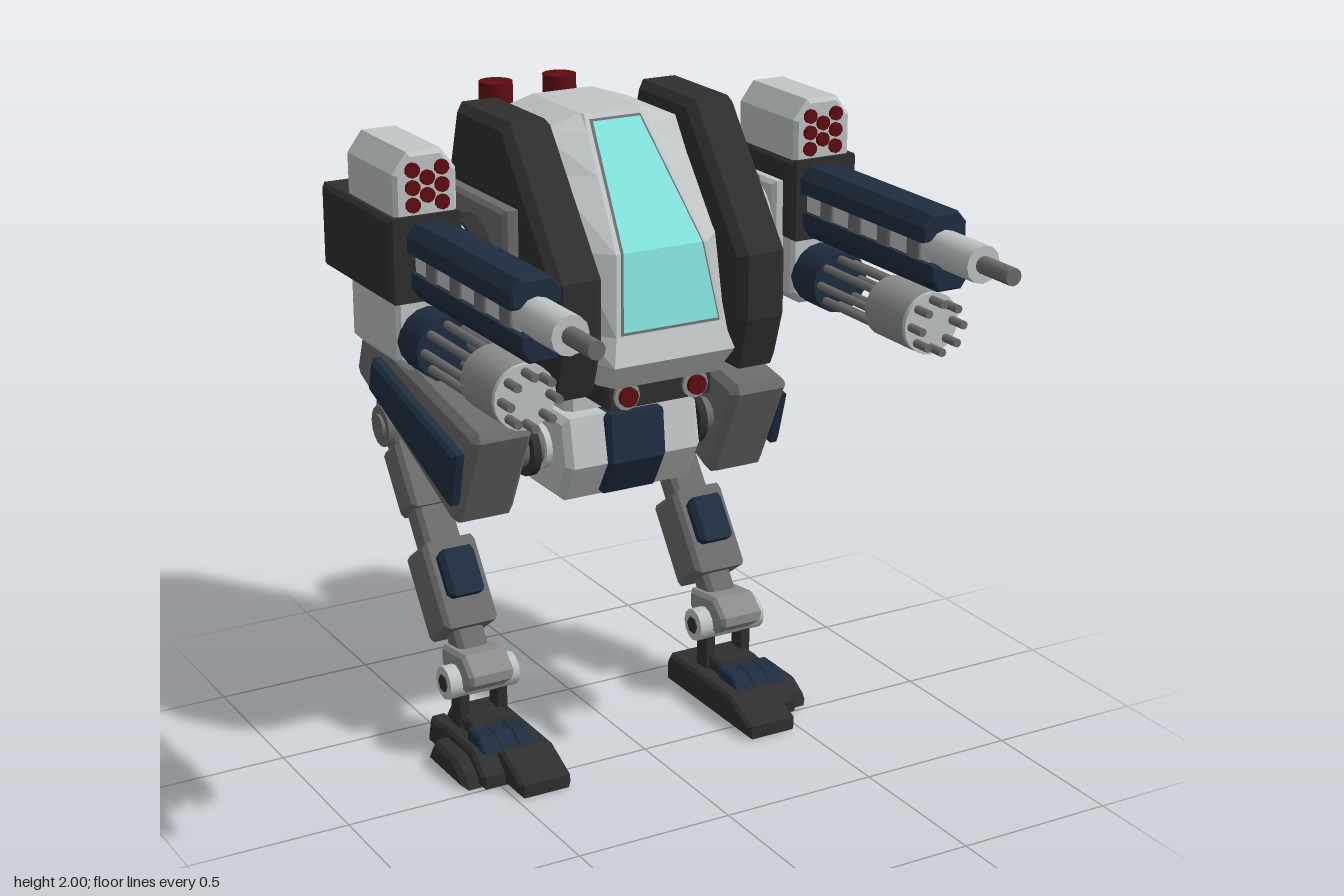
import * as THREE from 'three';

const mat = (name, color) => {
  const m = new THREE.MeshStandardMaterial({ color });
  m.name = name;
  return m;
};

export function createModel() {
  const light = mat('light grey', 0xc0c5c5), mid = mat('mid grey', 0x6c6c6c), dark = mat('charcoal', 0x2f2f2f);
  const navy = mat('navy', 0x1f2d40), red = mat('deep red', 0x600c10), glass = mat('cyan glass', 0x82e2dc);
  const steel = mat('steel', 0x8c8e8e);
  const model = new THREE.Group();
  model.name = 'walkingRobot';

  const add = (name, geo, material, parent = model) => {
    const mesh = new THREE.Mesh(geo, material);
    mesh.name = name;
    parent.add(mesh);
    return mesh;
  };
  // Side profile of [z, y] points, extruded from x0 to x1 with a chamfer
  const slab = (pts, x0, x1, b = 0.015) => {
    const shape = new THREE.Shape(pts.map(p => new THREE.Vector2(p[0], p[1])));
    return new THREE.ExtrudeGeometry(shape, {
      depth: x1 - x0 - 2 * b, bevelEnabled: b > 0, bevelThickness: b, bevelSize: b, bevelOffset: -b, bevelSegments: 1,
    }).rotateY(-Math.PI / 2).translate(x1 - b, 0, 0);
  };
  const box = (x0, x1, y0, y1, z0, z1, b = 0.012) => slab([[z0, y0], [z1, y0], [z1, y1], [z0, y1]], x0, x1, b);
  const cylX = (r, x0, x1, y, z, n = 20) =>
    new THREE.CylinderGeometry(r, r, x1 - x0, n).rotateZ(Math.PI / 2).translate((x0 + x1) / 2, y, z);
  const cylZ = (r, z0, z1, x, y, n = 16) =>
    new THREE.CylinderGeometry(r, r, z1 - z0, n).rotateX(Math.PI / 2).translate(x, y, (z0 + z1) / 2);
  // Front outline of [x, y] points, extruded from z0 to z1 with a chamfer
  const block = (pts, z0, z1, b = 0.012) => {
    const shape = new THREE.Shape(pts.map(p => new THREE.Vector2(p[0], p[1])));
    return new THREE.ExtrudeGeometry(shape, {
      depth: z1 - z0 - 2 * b, bevelThickness: b, bevelSize: b, bevelOffset: -b, bevelSegments: 1,
    }).translate(0, 0, z0 + b);
  };
  const faceted = (verts, index) => {
    const g = new THREE.BufferGeometry();
    g.setAttribute('position', new THREE.Float32BufferAttribute(verts, 3));
    g.setIndex(index);
    const flat = g.toNonIndexed();
    flat.computeVertexNormals();
    return flat;
  };

  // Hull: eight-sided rings of [y, front half width, side half width, front z, back z, chamfer]
  const rows = [
    [1.25, 0.17, 0.2, 0.13, -0.42, 0.06], [1.33, 0.2, 0.23, 0.18, -0.46, 0.08],
    [1.41, 0.178, 0.235, 0.15, -0.52, 0.09], [1.64, 0.15, 0.235, 0.1, -0.63, 0.09],
    [1.83, 0.12, 0.235, -0.062, -0.65, 0.08], [1.94, 0.103, 0.23, -0.155, -0.55, 0.06],
    [1.985, 0.093, 0.1, -0.194, -0.5, 0.01],
  ];
  const hv = [], hi = [];
  rows.forEach(([y, a, w, f, b, c], r) => {
    const back = Math.min(w, a + 0.06);
    for (const [x, z] of [[a, f], [w, f - c], [w, b + c / 2], [back, b], [-back, b], [-w, b + c / 2], [-w, f - c], [-a, f]]) hv.push(x, y, z);
    if (r) for (let i = 0; i < 8; i++) {
      const j = (i + 1) % 8, p = (r - 1) * 8, q = r * 8;
      hi.push(p + i, p + j, q + i, p + j, q + j, q + i);
    }
  });
  const top = (rows.length - 1) * 8;
  for (let i = 1; i < 7; i++) hi.push(0, i + 1, i, top, top + i, top + i + 1);
  add('hull', faceted(hv, hi), light);

  // Windscreen folded across the middle, on a slim dark frame
  const pane = (grow, off) => {
    const v = [];
    for (const [y, w, z] of [[1.42 - grow, 0.157, 0.148 + grow * 0.2], [1.64, 0.13, 0.1], [1.962 + grow, 0.078, -0.174 - grow * 0.85]])
      v.push(-w - grow, y + off * 0.5, z + off, w + grow, y + off * 0.5, z + off);
    return faceted(v, [0, 1, 3, 0, 3, 2, 2, 3, 5, 2, 5, 4]);
  };
  add('windscreenFrame', pane(0.007, 0.003), mid);
  add('windscreen', pane(0, 0.007), glass);

  // Sensor block and waist
  add('sensorBlock', box(-0.18, 0.18, 1.17, 1.26, -0.12, 0.09), dark);
  add('waist', new THREE.CylinderGeometry(0.12, 0.12, 0.16, 24).translate(0, 1.19, -0.23), mid);

  // Pelvis
  add('pelvis', slab([[-0.08, 1.1], [-0.05, 0.95], [-0.12, 0.83], [-0.33, 0.83], [-0.42, 0.95], [-0.38, 1.1]], -0.23, 0.23, 0.02), light);
  add('pelvisRiser', slab([[-0.13, 1.17], [-0.14, 1.0], [-0.35, 0.9], [-0.62, 1.1], [-0.72, 1.25], [-0.5, 1.25], [-0.44, 1.17]], -0.19, 0.19, 0.02), light);
  add('pelvisPlate', slab([[-0.05, 1.1], [-0.035, 0.95], [-0.1, 0.835], [-0.2, 0.835], [-0.2, 1.1]], -0.098, 0.098, 0.012), navy);
  add('stackMount', box(-0.11, 0.11, 1.27, 1.79, -0.76, -0.55), navy);

  // Everything below is made on the left and mirrored to the right
  const side = new THREE.Group();
  side.name = 'leftSide';
  const put = (name, geo, m) => add(name, geo, m, side);

  put('sensorRim', cylZ(0.043, 0.07, 0.1, 0.115, 1.21, 12), steel);
  put('sensorLens', cylZ(0.03, 0.09, 0.115, 0.115, 1.21, 12), red);

  // Rear stack
  put('stackBody', slab([[-0.47, 1.255], [-0.73, 1.255], [-0.73, 1.81], [-0.62, 1.81], [-0.58, 1.47]], 0.03, 0.195, 0.01), navy);
  put('stackTube', new THREE.CylinderGeometry(0.09, 0.09, 0.56, 24).translate(0.11, 1.53, -0.73), navy);
  put('stackCollar', new THREE.CylinderGeometry(0.066, 0.066, 0.07, 20).translate(0.11, 1.84, -0.73), navy);
  put('stackTip', new THREE.CylinderGeometry(0.053, 0.053, 0.15, 20).translate(0.11, 1.905, -0.73), red);

  // Armoured side ring
  put('sideArmour', slab([[0.17, 1.6], [0.17, 1.4], [0.12, 1.24], [-0.42, 1.24], [-0.53, 1.6], [-0.51, 1.8], [-0.45, 2], [-0.14, 2]], 0.225, 0.385, 0.025), dark);

  // Shoulder
  put('shoulderPlate', box(0.37, 0.43, 1.38, 1.77, -0.45, -0.05), mid);
  put('shoulderDisc', cylX(0.14, 0.42, 0.485, 1.58, -0.25, 24), dark);
  put('shoulderDrum', cylX(0.125, 0.48, 0.53, 1.585, -0.25, 24), light);
  put('shoulderFlange', box(0.515, 0.56, 1.45, 1.72, -0.4, -0.12), light);

  // Weapon housing
  put('weaponHousing', box(0.55, 0.778, 1.54, 1.79, -0.54, -0.065), dark);
  put('missilePod', block([[0.56, 1.77], [0.755, 1.77], [0.755, 1.91], [0.71, 1.97], [0.605, 1.97], [0.56, 1.91]], -0.4, -0.075), light);
  for (const [x, ys] of [[0.61, [1.82, 1.87, 1.92]], [0.655, [1.845, 1.895]], [0.7, [1.82, 1.87, 1.92]]])
    for (const y of ys) put('missile', cylZ(0.022, -0.1, -0.064, x, y, 10), red);

  // Main cannon
  const gx = 0.65;
  put('cannonUpper', block([[0.575, 1.69], [0.725, 1.69], [0.725, 1.735], [0.695, 1.77], [0.605, 1.77], [0.575, 1.735]], -0.07, 0.575, 0.006), navy);
  put('cannonLower', block([[0.585, 1.63], [0.585, 1.585], [0.61, 1.55], [0.69, 1.55], [0.715, 1.585], [0.715, 1.63]], -0.07, 0.61, 0.006), navy);
  put('cannonCore', box(0.6, 0.7, 1.62, 1.7, -0.07, 0.57, 0.004), light);
  for (const z of [0.02, 0.17, 0.32, 0.47]) put('cannonClamp', box(0.59, 0.71, 1.625, 1.695, z, z + 0.06, 0.004), mid);
  put('cannonMuzzle', cylZ(0.056, 0.55, 0.76, gx, 1.665, 12), light);
  put('cannonBarrel', cylZ(0.026, 0.74, 0.9, gx, 1.665, 12), mid);

  // Rotary gun
  put('rotaryHousing', block([[0.56, 1.37], [0.595, 1.335], [0.72, 1.335], [0.755, 1.37], [0.755, 1.55], [0.56, 1.55]], -0.4, -0.08), light);
  put('rotaryBase', cylZ(0.095, -0.09, 0.04, gx + 0.008, 1.425, 16), navy);
  put('rotaryDrum', cylZ(0.093, 0.31, 0.5, gx + 0.008, 1.425, 20), steel);
  put('rotaryFace', cylZ(0.093, 0.5, 0.515, gx + 0.008, 1.425, 20), light);
  for (let i = 0; i < 8; i++) {
    const a = (i / 8) * Math.PI * 2;
    put('rotaryBarrel', cylZ(0.013, 0.02, 0.575, gx + 0.008 + 0.072 * Math.cos(a), 1.425 + 0.072 * Math.sin(a), 8), mid);
  }

  // Hip joint and thigh
  put('hipAxle', cylX(0.055, 0.2, 0.36, 0.98, -0.22, 16), mid);
  put('hipDisc', cylX(0.085, 0.275, 0.3, 0.98, -0.22, 20), dark);
  put('hipCollar', cylX(0.07, 0.22, 0.25, 0.98, -0.22, 16), light);
  put('thigh', slab([[-0.05, 1.085], [-0.065, 1.115], [-0.8, 1.245], [-0.84, 1.225], [-0.89, 1.09], [-0.87, 1.055], [-0.22, 0.785], [-0.19, 0.795]], 0.34, 0.54, 0.022), mid);
  put('thighPanel', slab([[-0.11, 1.04], [-0.69, 1.175], [-0.72, 1.065], [-0.16, 0.865]], 0.53, 0.578, 0.012), navy);

  // Lower leg segments along the line from knee to ankle
  const lx = 0.445, tilt = -0.628;
  const limb = (name, w, d, from, to, m, front = 0) => {
    const g = box(-w / 2, w / 2, -(to - from) / 2, (to - from) / 2, -d / 2 + front, d / 2 + front, 0.015);
    const t = (from + to) / 2;
    put(name, g.rotateX(tilt).translate(lx, 0.925 - 0.809 * t, -0.75 + 0.588 * t), m);
  };
  put('kneeBracket', box(0.385, 0.505, 0.92, 1.1, -0.83, -0.71), mid);
  put('kneeJoint', cylX(0.066, 0.365, 0.525, 0.925, -0.75, 16), mid);
  put('kneeBolt', cylX(0.04, 0.355, 0.535, 0.925, -0.75, 12), mid);
  limb('upperShin', 0.15, 0.13, 0.07, 0.29, mid);
  limb('shinPiston', 0.12, 0.1, 0.0, 0.43, mid);
  limb('lowerShin', 0.18, 0.165, 0.41, 0.69, mid);
  limb('shinPlate', 0.12, 0.06, 0.45, 0.6, navy, 0.09);
  limb('ankleShaft', 0.1, 0.09, 0.66, 0.82, mid);

  // Ankle
  put('ankleBlock', slab([[-0.15, 0.27], [-0.15, 0.3], [-0.21, 0.35], [-0.36, 0.33], [-0.36, 0.27], [-0.3, 0.22], [-0.22, 0.22]], 0.37, 0.52, 0.012), steel);
  put('ankleAxle', cylX(0.053, 0.325, 0.56, 0.25, -0.26, 12), light);
  put('ankleBolt', cylX(0.028, 0.32, 0.565, 0.25, -0.26, 6), dark);
  for (const x of [0.375, 0.505]) put('anklePost', box(x - 0.018, x + 0.018, 0.09, 0.25, -0.29, -0.23, 0.004), dark);

  // Foot
  put('foot', slab([[0.108, 0], [0.108, 0.042], [-0.02, 0.1], [-0.39, 0.1], [-0.41, 0.07], [-0.41, 0]], 0.315, 0.485, 0.01), dark);
  put('outerToe', slab([[0.0, 0], [0.0, 0.04], [-0.08, 0.1], [-0.3, 0.1], [-0.34, 0]], 0.46, 0.56, 0.01), dark);
  put('toeFlank', slab([[-0.02, 0], [-0.04, 0.04], [-0.1, 0.075], [-0.24, 0.075], [-0.28, 0]], 0.54, 0.613, 0.015), dark);
  put('outerHeel', slab([[-0.2, 0], [-0.2, 0.09], [-0.37, 0.09], [-0.39, 0]], 0.5, 0.56, 0.01), dark);
  put('instep', slab([[-0.15, 0.09], [-0.17, 0.14], [-0.3, 0.14], [-0.33, 0.09]], 0.37, 0.515, 0.008), dark);
  for (const x of [0.385, 0.445, 0.5]) put('toePlate', slab([[-0.03, 0.095], [-0.08, 0.135], [-0.15, 0.135], [-0.16, 0.095]], x - 0.025, x + 0.035, 0.006), navy);

  // Mirrored copy with corner order flipped
  const other = new THREE.Group();
  other.name = 'rightSide';
  for (const mesh of side.children) {
    const src = mesh.geometry.index ? mesh.geometry.toNonIndexed() : mesh.geometry.clone();
    src.scale(-1, 1, 1);
    const n = src.attributes.position.count, order = [];
    for (let i = 0; i < n; i += 3) order.push(i, i + 2, i + 1);
    src.setIndex(order);
    const nor = src.attributes.normal, old = (mesh.geometry.index ? mesh.geometry.toNonIndexed() : mesh.geometry).attributes.normal;
    for (let i = 0; i < n; i++) nor.setXYZ(i, -old.getX(i), old.getY(i), old.getZ(i));
    add(mesh.name, src, mesh.material, other);
  }
  model.add(side, other);
  return model;
}
